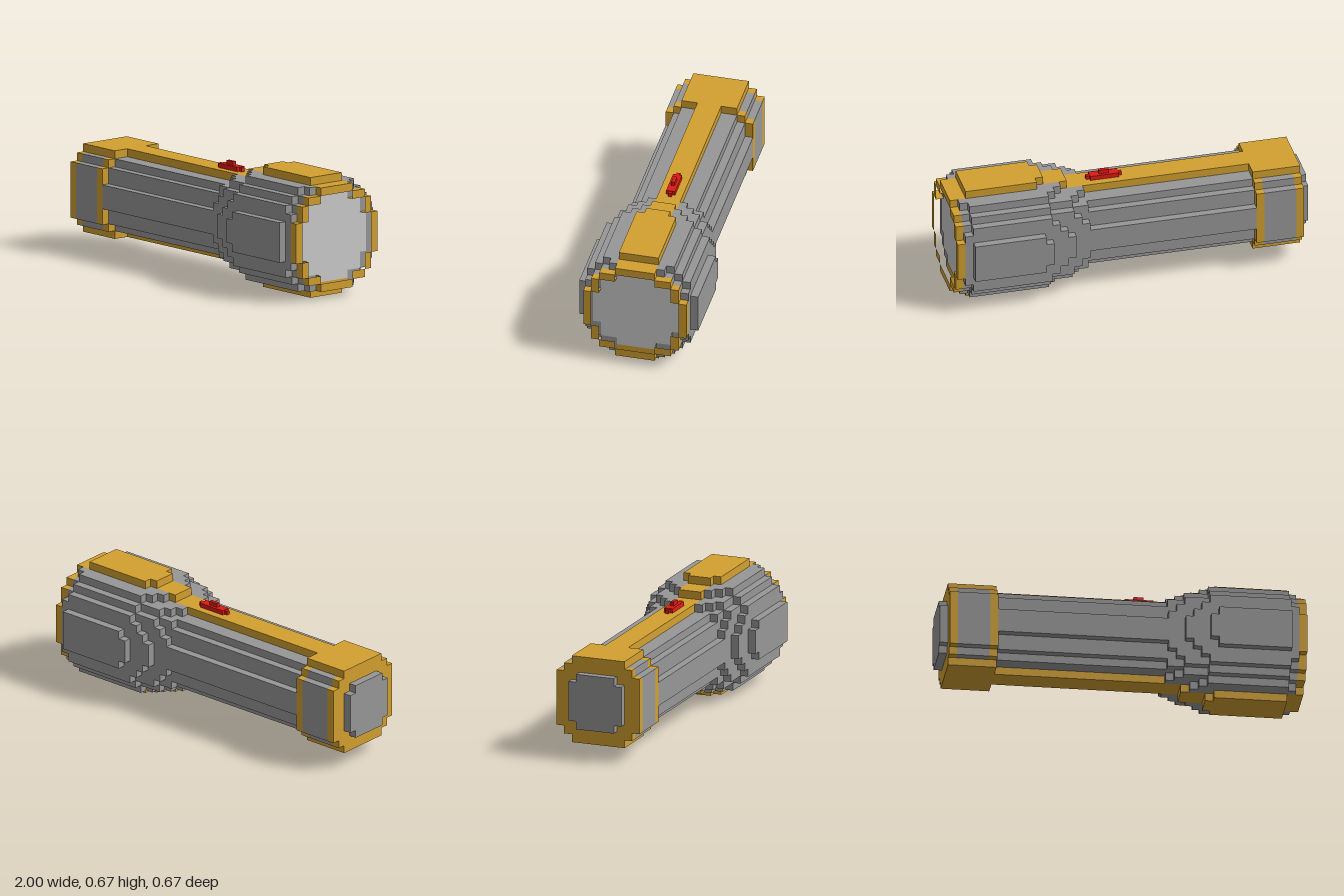
import * as THREE from 'three';

const U = 2 / 45;      // one block
const MID = 7.5;       // height of the torch axis, in blocks

const mat = (color) => new THREE.MeshStandardMaterial({ color, flatShading: true });

// Stepped discs: [half-width, half-height] stairs from the middle outwards
const CAP = [[2.5, 3.5], [3.5, 2.5]];
const D11A = [[1.5, 5.5], [3.5, 4.5], [4.5, 3.5], [5.5, 1.5]];
const D11B = [[2.5, 5.5], [4.5, 4.5], [5.5, 2.5]];
const D11C = [[3.5, 5.5], [4.5, 4.5], [5.5, 3.5]];
const D13A = [[1.5, 6.5], [4.5, 5.5], [5.5, 4.5], [6.5, 1.5]];
const D13B = [[2.5, 6.5], [4.5, 5.5], [5.5, 4.5], [6.5, 2.5]];
const D13C = [[3.5, 6.5], [4.5, 5.5], [5.5, 4.5], [6.5, 3.5]];
const D15A = [[1.5, 7.5], [4.5, 6.5], [5.5, 5.5], [6.5, 4.5], [7.5, 1.5]];
const D15B = [[2.5, 7.5], [4.5, 6.5], [5.5, 5.5], [6.5, 4.5], [7.5, 2.5]];

// Mirror one quadrant of stairs into a closed outline
function outline(steps) {
  const q = [];
  steps.forEach(([w, h], i) => {
    if (i > 0) q.push([steps[i - 1][0], h]);
    q.push([w, h]);
  });
  const r = [...q].reverse();
  return [
    ...q,
    ...r.map(([a, b]) => [a, -b]),
    ...q.map(([a, b]) => [-a, -b]),
    ...r.map(([a, b]) => [-a, b]),
  ].map(([a, b]) => new THREE.Vector2(a * U, b * U));
}

// Leave a one-block groove at top and bottom for an inlaid strip
function groove(steps, g) {
  const [w, h] = steps[0];
  return [[g, h - 1], ...(g < w ? steps : steps.slice(1))];
}

export function createModel() {
  const torch = new THREE.Group();
  torch.name = 'torch';
  const grey = mat(0x979797);
  const gold = mat(0xd2a02f);
  const glass = mat(0xcccccc);
  const red = mat(0xe01a14);

  const add = (name, geometry, material) => {
    const mesh = new THREE.Mesh(geometry, material);
    mesh.name = name;
    torch.add(mesh);
    return mesh;
  };

  // Extrude a stepped disc along x, from block x0 to block x1
  const slice = (name, x0, x1, steps, material, hole) => {
    const shape = new THREE.Shape(outline(steps));
    if (hole) shape.holes.push(new THREE.Path(outline(hole)));
    const geo = new THREE.ExtrudeGeometry(shape, { depth: (x1 - x0) * U, bevelEnabled: false });
    geo.rotateY(Math.PI / 2);
    geo.translate(x0 * U - 1, MID * U, 0);
    add(name, geo, material);
  };

  // Grey slice with gold strips along its top and bottom
  const stripedSlice = (name, x0, x1, steps, g) => {
    slice(name, x0, x1, groove(steps, g), grey);
    for (const s of [1, -1]) {
      const geo = new THREE.BoxGeometry((x1 - x0) * U, U, 2 * g * U);
      geo.translate((x0 + x1) / 2 * U - 1, (MID + s * (steps[0][1] - 0.5)) * U, 0);
      add(s > 0 ? 'topStrip' : 'bottomStrip', geo, gold);
    }
  };

  // Tail
  slice('tailCap', 0, 1, CAP, grey);
  slice('tailRing', 1, 2, D11C, gold);
  stripedSlice('tailGrip', 2, 6, D11C, 3.5);
  slice('tailRing', 6, 7, D11C, gold);

  // Handle, flaring neck and head
  stripedSlice('handle', 7, 28, D11A, 1.5);
  [D11B, D11C, D13A, D13B, D13C].forEach((d, i) => stripedSlice('neck', 28 + i, 29 + i, d, 1.5));
  stripedSlice('headEdge', 33, 34, D15A, 1.5);
  stripedSlice('head', 34, 43, D15B, 2.5);
  stripedSlice('headCollar', 43, 44, D13C, 2.5);

  // Open rim with the lens set back inside it
  slice('rim', 44, 45, D13B, gold, D11B);
  slice('lens', 43.5, 44.05, D11B, glass);

  // Switch on top of the handle: [width, height, depth, bottom]
  const top = (MID + 5.5) * U;
  for (const [name, w, h, d, y] of [
    ['switchPlate', 0.16, 0.025, 0.05, 0],
    ['switchEnds', 0.2, 0.022, 0.02, 0],
    ['switchButton', 0.055, 0.022, 0.02, 0.025],
  ]) {
    add(name, new THREE.BoxGeometry(w, h, d), red).position.set(0.11, top + y + h / 2, 0);
  }
  return torch;
}
